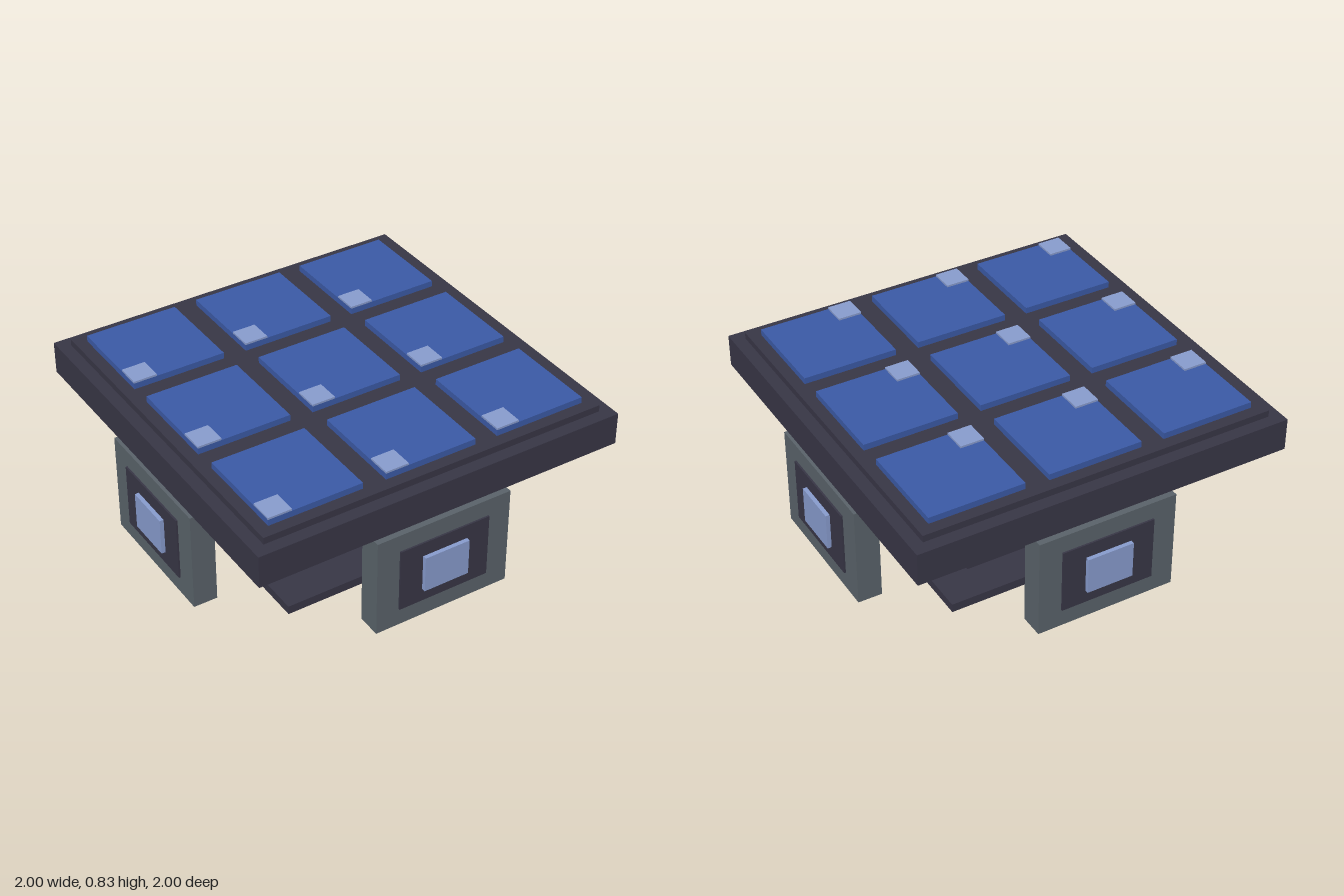
import * as THREE from 'three';

export function createModel() {
  const model = new THREE.Group();
  const material = (name, color) => {
    const m = new THREE.MeshStandardMaterial({ color });
    m.name = name;
    return m;
  };
  const dark = material('dark slate', 0x383646);
  const grey = material('steel grey', 0x5a636a);
  const blue = material('deep blue', 0x3b5aa6);
  const light = material('pale blue', 0x889cce);

  // Box given by its minimum and maximum along each axis
  const box = (parent, name, mat, [x0, x1], [y0, y1], [z0, z1]) => {
    const mesh = new THREE.Mesh(new THREE.BoxGeometry(x1 - x0, y1 - y0, z1 - z0), mat);
    mesh.position.set((x0 + x1) / 2, (y0 + y1) / 2, (z0 + z1) / 2);
    mesh.name = name;
    parent.add(mesh);
  };
  const slab = (name, mat, half, y) => box(model, name, mat, [-half, half], y, [-half, half]);

  // Stepped base and central column
  slab('basePlate', dark, 0.61, [0.005, 0.05]);
  slab('baseStep', dark, 0.424, [0.05, 0.123]);
  slab('column', grey, 0.182, [0.123, 0.587]);

  // Table top with a raised inner deck
  slab('topSlab', dark, 0.97, [0.587, 0.755]);
  slab('topDeck', dark, 0.907, [0.755, 0.79]);

  // Three by three tiles, each with a small highlight in its front corner
  for (const x of [-0.605, 0, 0.605]) {
    for (const z of [-0.605, 0, 0.605]) {
      box(model, 'tile', blue, [x - 0.242, x + 0.242], [0.79, 0.822], [z - 0.242, z + 0.242]);
      box(model, 'tileHighlight', light, [x - 0.242, x - 0.121], [0.822, 0.832], [z + 0.121, z + 0.242]);
    }
  }

  // Four identical arms, each carrying an upright pod with a glowing panel
  for (let i = 0; i < 4; i++) {
    const side = new THREE.Group();
    side.name = 'armSide';
    side.rotation.y = i * Math.PI / 2;
    box(side, 'arm', dark, [-0.09, 0.09], [0.19, 0.37], [0.1, 0.86]);
    box(side, 'pod', grey, [-0.363, 0.363], [0.036, 0.557], [0.847, 0.97]);
    box(side, 'podPanel', dark, [-0.243, 0.243], [0.13, 0.466], [0.97, 0.979]);
    box(side, 'podLight', light, [-0.121, 0.121], [0.2, 0.392], [0.975, 1]);
    box(side, 'baseLight', blue, [-0.121, 0.121], [0.013, 0.043], [0.6, 0.625]);
    model.add(side);
  }
  return model;
}
